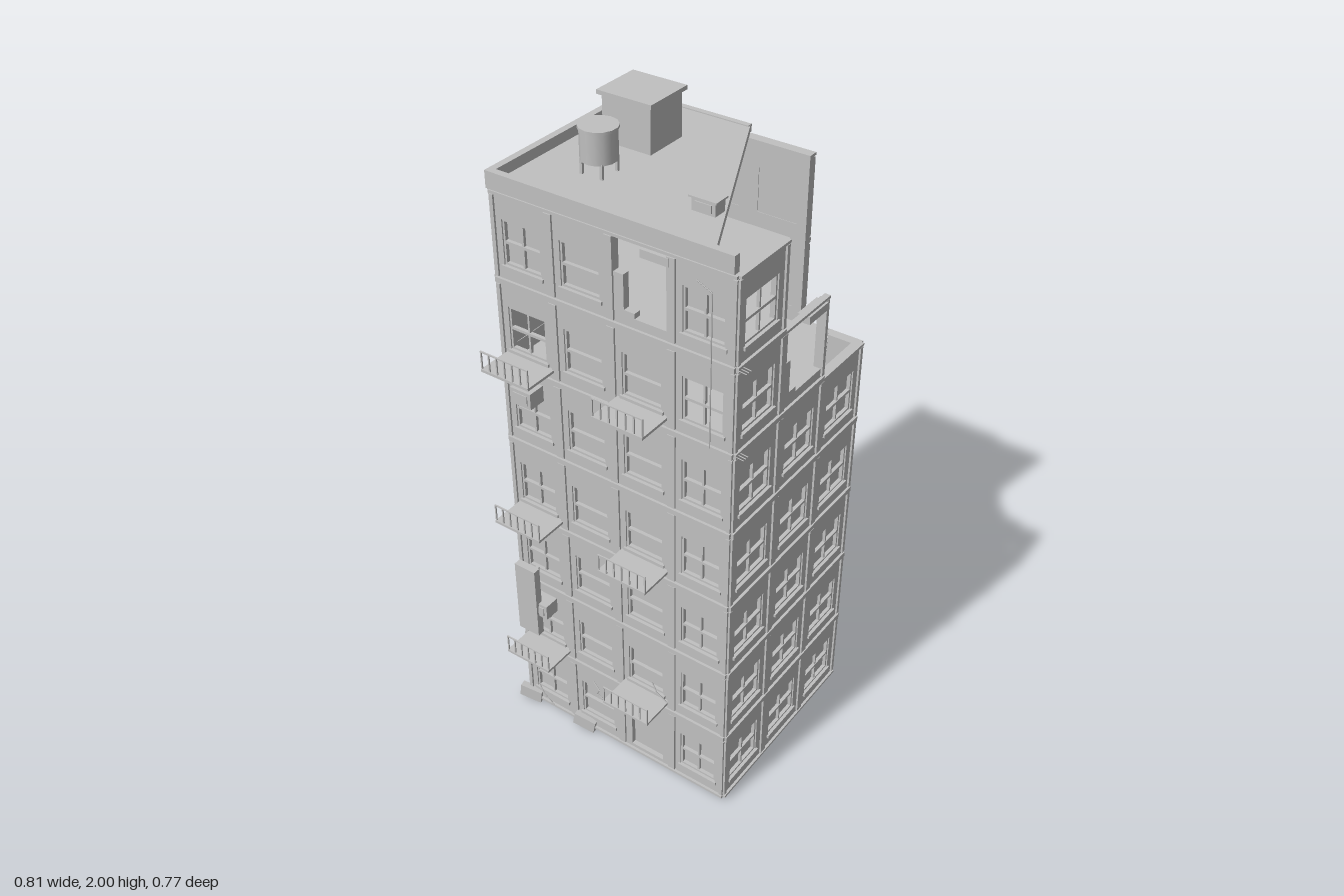
import * as THREE from 'three';

const concrete = new THREE.MeshStandardMaterial({ color: 0xc0c0c0 });
concrete.name = 'concrete grey';

const FLOOR = 0.259, BASE = 0.02, WALL = 0.022, ROOF = BASE + 7 * FLOOR;

function add(parent, name, geometry, x = 0, y = 0, z = 0) {
  const mesh = new THREE.Mesh(geometry, concrete);
  mesh.name = name;
  mesh.position.set(x, y, z);
  parent.add(mesh);
  return mesh;
}

// Box given by its minimum and maximum corners
function box(parent, name, x0, x1, y0, y1, z0, z1) {
  return add(parent, name, new THREE.BoxGeometry(x1 - x0, y1 - y0, z1 - z0),
    (x0 + x1) / 2, (y0 + y1) / 2, (z0 + z1) / 2);
}

const outline = pts => new THREE.Shape(pts.map(p => new THREE.Vector2(p[0], p[1])));

// Horizontal slab with an outline of [x, z] points
function slab(parent, name, pts, top, thick) {
  const shape = outline(pts.map(([x, z]) => [x, -z]));
  const geo = new THREE.ExtrudeGeometry(shape, { depth: thick, bevelEnabled: false });
  geo.rotateX(-Math.PI / 2);
  return add(parent, name, geo, 0, top - thick, 0);
}

// Thin bent rod through a few points
function rod(parent, name, pts, r = 0.002) {
  pts.slice(1).forEach((p, i) => {
    const a = new THREE.Vector3(...pts[i]), b = new THREE.Vector3(...p);
    const mesh = add(parent, name, new THREE.CylinderGeometry(r, r, a.distanceTo(b), 5));
    mesh.position.copy(a).lerp(b, 0.5);
    mesh.quaternion.setFromUnitVectors(new THREE.Vector3(0, 1, 0), b.sub(a).normalize());
  });
}

function wallGeometry(pts, hole) {
  const shape = outline(pts);
  if (hole) shape.holes.push(outline(hole));
  const geo = new THREE.ExtrudeGeometry(shape, { depth: WALL, bevelEnabled: false });
  return geo.translate(0, 0, -WALL);
}

// One bay of one storey: kind is window, open, door or broken
function bay(width, kind, mullion) {
  const g = new THREE.Group();
  g.name = kind + 'Bay';
  if (kind === 'broken') {
    add(g, 'brokenWall', wallGeometry([[0, 0], [width, 0], [width, 0.035], [0.075, 0.035],
      [0.075, 0.05], [0.042, 0.05], [0.042, 0.15], [0, 0.15]]));
    box(g, 'hangingFragment', width * 0.53, width * 0.97, 0.22, 0.243, -0.03, 0.008);
  } else {
    const half = width * (kind === 'door' ? 0.31 : 0.335);
    const u0 = width / 2 - half, u1 = width / 2 + half;
    const v0 = kind === 'door' ? 0.02 : 0.05, v1 = kind === 'door' ? 0.19 : 0.182;
    add(g, 'wall', wallGeometry([[0, 0], [width, 0], [width, FLOOR], [0, FLOOR]],
      [[u0, v0], [u0, v1], [u1, v1], [u1, v0]]));
    if (kind !== 'open') box(g, 'pane', u0, u1, v0, v1, -0.02, -0.015);
    if (kind !== 'door') {
      const mid = (v0 + v1) / 2, f = 0.006;
      box(g, 'frameLeft', u0, u0 + f, v0, v1, -0.015, -0.004);
      box(g, 'frameRight', u1 - f, u1, v0, v1, -0.015, -0.004);
      box(g, 'frameTop', u0, u1, v1 - f, v1, -0.015, -0.004);
      box(g, 'frameBottom', u0, u1, v0, v0 + f, -0.015, -0.004);
      box(g, 'meetingRail', u0, u1, mid - 0.004, mid + 0.004, -0.015, -0.004);
      if (mullion) box(g, 'mullion', width / 2 - 0.003, width / 2 + 0.003, v0, v1, -0.015, -0.006);
      box(g, 'sill', u0 - 0.006, u1 + 0.006, v0 - 0.01, v0, -0.01, 0.006);
    }
  }
  // Raised storey bands and edge pilasters
  box(g, 'lowerBand', 0, width, 0, 0.008, -0.01, 0.008);
  box(g, 'upperBand', 0, width, FLOOR - 0.008, FLOOR, -0.01, 0.008);
  box(g, 'pilasterLeft', 0, 0.012, 0.012, FLOOR - 0.012, -WALL, 0.006);
  box(g, 'pilasterRight', width - 0.012, width, 0.012, FLOOR - 0.012, -WALL, 0.006);
  return g;
}

// One wall; special maps "floor,bay" to a kind, with none for missing bays
function facade(parent, name, x, z, turn, count, width, special) {
  const g = new THREE.Group();
  g.name = name;
  g.position.set(x, BASE, z);
  g.rotation.y = turn;
  for (let f = 0; f < 7; f++) for (let i = 0; i < count; i++) {
    const kind = special[f + ',' + i] || 'window';
    if (kind === 'none') continue;
    const b = bay(width, kind, count === 3 || i === 0 || i === 3);
    b.position.set(i * width, f * FLOOR, 0);
    g.add(b);
  }
  parent.add(g);
}

function balcony(parent, x0, y) {
  const g = new THREE.Group();
  g.name = 'balcony';
  g.position.set(x0, y, 0);
  const w = 0.162;
  box(g, 'balconyFloor', 0, w, -0.004, 0.004, 0.27, 0.385);
  box(g, 'handRail', 0, w, 0.056, 0.06, 0.379, 0.383);
  for (let i = 0; i < 7; i++) {
    const u = 0.002 + i * (w - 0.004) / 6;
    box(g, 'baluster', u - 0.002, u + 0.002, 0, 0.058, 0.379, 0.383);
  }
  parent.add(g);
}

function airConditioner(parent, x, y, z, w, h, d) {
  box(parent, 'airConditioner', x - w / 2, x + w / 2, y, y + h, z, z + d);
  box(parent, 'airConditionerGrille', x - w * 0.35, x + w * 0.35, y + h * 0.2, y + h * 0.8, z + d, z + d + 0.003);
}

export function createModel() {
  const model = new THREE.Group();
  model.name = 'damagedApartmentBlock';
  const L = -0.375, R = 0.375, F = 0.272, B = -0.375, side = (F - B) / 3;

  // Walls with the collapsed corner
  facade(model, 'frontWall', L, F, 0, 4, 0.1875,
    { '0,2': 'door', '5,0': 'open', '5,3': 'open', '6,2': 'broken' });
  facade(model, 'leftWall', R, F, Math.PI / 2, 3, side,
    { '5,1': 'broken', '6,0': 'open', '5,2': 'none', '6,1': 'none', '6,2': 'none' });
  facade(model, 'backWall', R, B, Math.PI, 4, 0.1875,
    { '5,0': 'none', '6,0': 'none', '5,2': 'broken', '5,3': 'open' });
  facade(model, 'rightWall', L, B, -Math.PI / 2, 3, side, { '5,0': 'broken' });

  // Floors, the upper ones cut off diagonally
  const a = 0.003, l = L + a, r = R - a, f = F - a, b = B + a;
  const full = [[l, f], [r, f], [r, b], [l, b]];
  slab(model, 'groundFloor', full, BASE + 0.015, 0.014);
  for (let i = 1; i < 5; i++) slab(model, 'floor', full, BASE + i * FLOOR + 0.004, 0.012);
  slab(model, 'fifthFloor', [[l, f], [r, f], [r, -0.17], [0.27, b], [l, b]], BASE + 5 * FLOOR + 0.004, 0.015);
  slab(model, 'sixthFloor', [[l, f], [r, f], [r, 0.1], [0.13, b], [l, b]], BASE + 6 * FLOOR + 0.004, 0.015);
  slab(model, 'roof', [[L, F], [0.305, F], [-0.015, B], [L, B]], 1.857, 0.022);

  // Roof edge
  box(model, 'frontParapet', L, 0.37, 1.838, 1.887, 0.262, 0.283);
  box(model, 'rightParapet', -0.378, -0.357, 1.838, 1.887, -0.38, 0.283);
  box(model, 'backRoofEdge', L, -0.015, 1.838, 1.86, -0.382, -0.365);

  // Stair hut
  box(model, 'stairHut', -0.28, -0.125, 1.855, 1.988, -0.212, -0.073);
  box(model, 'stairHutLid', -0.29, -0.115, 1.988, 2, -0.222, -0.063);

  // Water tank on legs
  add(model, 'waterTank', new THREE.CylinderGeometry(0.05, 0.05, 0.085, 14), -0.175, 1.938, 0.077);
  add(model, 'waterTankLid', new THREE.CylinderGeometry(0.054, 0.054, 0.008, 14), -0.175, 1.983, 0.077);
  for (const sx of [-1, 1]) for (const sz of [-1, 1]) {
    const x = -0.175 + sx * 0.032, z = 0.077 + sz * 0.032;
    box(model, 'waterTankLeg', x - 0.004, x + 0.004, 1.855, 1.9, z - 0.004, z + 0.004);
  }

  // Air conditioners on the roof and facade
  airConditioner(model, 0.165, 1.857, 0.068, 0.07, 0.036, 0.042);
  box(model, 'roofUnitLid', 0.124, 0.206, 1.893, 1.898, 0.064, 0.115);
  airConditioner(model, -0.275, 1.235, F, 0.07, 0.05, 0.055);
  airConditioner(model, -0.275, 0.455, F, 0.07, 0.05, 0.05);

  // Blank hanging sign board
  box(model, 'signBoard', -0.345, -0.27, 0.38, 0.635, 0.308, 0.332);
  for (const y of [0.42, 0.59]) box(model, 'signBracket', -0.312, -0.302, y, y + 0.01, F, 0.31);

  for (const y of [0.312, 0.83, 1.352]) {
    balcony(model, -0.355, y);
    balcony(model, 0.015, y);
  }

  // Fallen rubble at the foot of the wall
  for (const [x, tilt, turn] of [[-0.365, -0.12, 0.2], [-0.145, -0.18, 0.15]]) {
    const block = add(model, 'rubble', new THREE.BoxGeometry(0.075, 0.045, 0.022), x, 0.032, 0.28);
    block.rotation.set(0, turn, tilt);
  }

  // Bent reinforcing rods and the loose cable
  for (const y of [1.318, 1.576]) for (const z of [0.25, 0.26, 0.27])
    rod(model, 'reinforcingRod', [[0.36, y, z], [0.405, y - 0.004, z]], 0.0015);
  rod(model, 'looseCable', [[0.265, 1.79, 0.282], [0.31, 1.77, 0.282], [0.31, 1.32, 0.282]], 0.0018);
  rod(model, 'bentRod', [[-0.105, 0.235, 0.28], [-0.08, 0.215, 0.284], [-0.09, 0.195, 0.284], [-0.045, 0.17, 0.28]]);
  rod(model, 'bentRod', [[-0.33, 0.09, 0.28], [-0.31, 0.06, 0.284], [-0.27, 0.025, 0.28]]);
  rod(model, 'bentRod', [[0.12, 0.37, 0.28], [0.14, 0.34, 0.284], [0.18, 0.31, 0.28]]);
  return model;
}
